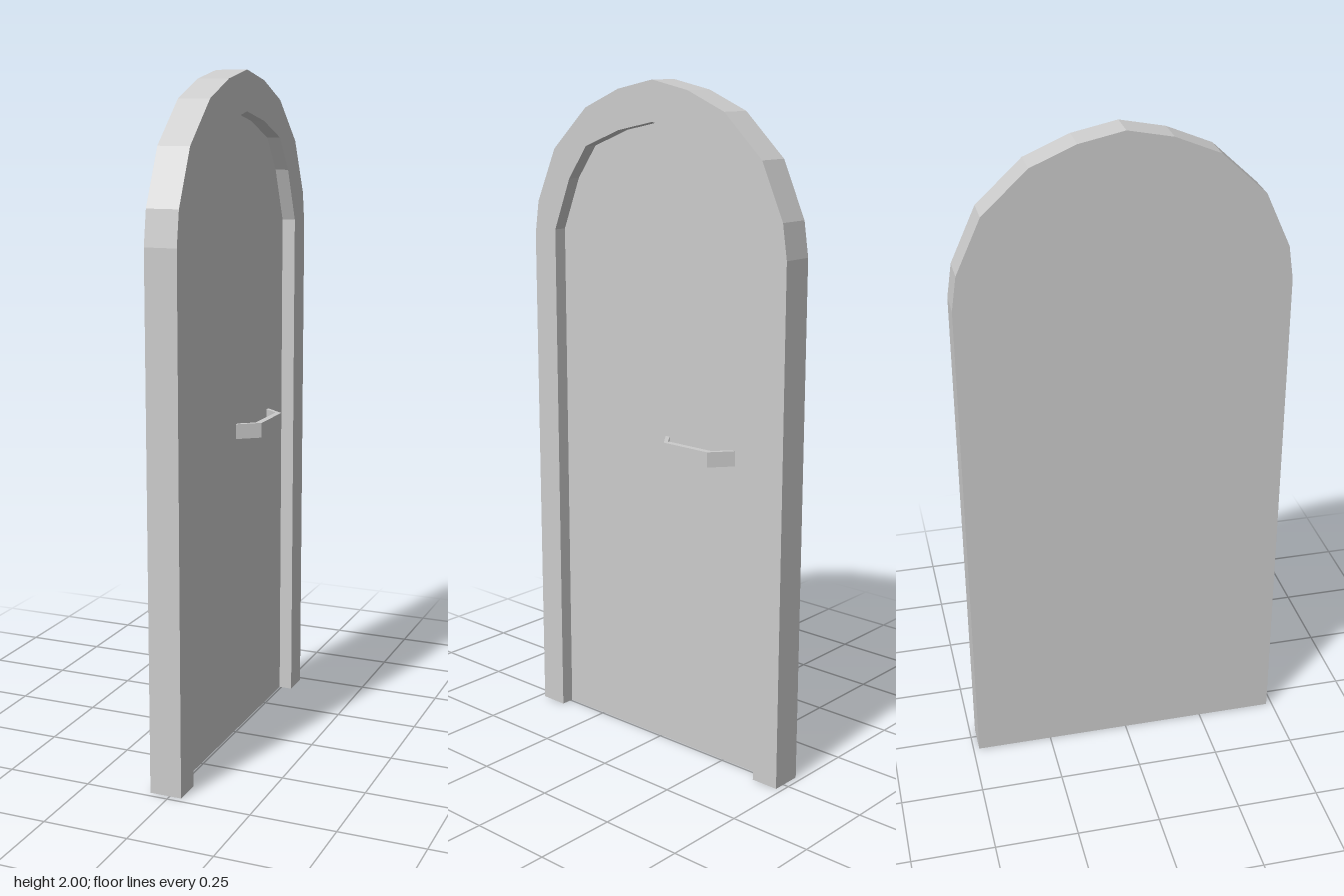
import * as THREE from 'three';

const material = new THREE.MeshStandardMaterial({ color: 0xcccccc, flatShading: true });

// Half outlines of the arch, from the floor up to the crown: [half width, height]
const OUTER = [[0.482, 0], [0.482, 1.535], [0.467, 1.635], [0.394, 1.795], [0.262, 1.918], [0.131, 1.973], [0, 2]];
const INNER = [[0.396, 0], [0.396, 1.553], [0.333, 1.709], [0.262, 1.807], [0.131, 1.857], [0, 1.884]];

const BACK = -0.06, PANEL_FACE = -0.006, FRAME_FACE = 0.035;

// Mirrors a half outline into a full arch running from one foot to the other
function arch(half) {
  const mirrored = half.slice(0, -1).reverse().map(([w, y]) => [-w, y]);
  return [...half, ...mirrored];
}

function extrude(points, depth) {
  const shape = new THREE.Shape(points.map(([a, b]) => new THREE.Vector2(a, b)));
  return new THREE.ExtrudeGeometry(shape, { depth, bevelEnabled: false });
}

// Upright slab whose thickness runs along x
function slab(name, points, x0, x1) {
  const geometry = extrude(points, x1 - x0).rotateY(Math.PI / 2).translate(x0, 0, 0);
  const mesh = new THREE.Mesh(geometry, material);
  mesh.name = name;
  return mesh;
}

// Pull handle: a bent bar of constant depth, drawn in plan as [x, z]
function makeHandle() {
  const thickness = 0.019, y0 = 0.925, y1 = 0.97;
  const plan = [
    [PANEL_FACE, -0.016], [0.057, -0.065], [0.057, -0.23], [PANEL_FACE, -0.281],
    [PANEL_FACE, -0.266], [0.057 - thickness, -0.23], [0.057 - thickness, -0.065], [PANEL_FACE, -0.031],
  ];
  const geometry = extrude(plan.map(([x, z]) => [x, -z]), y1 - y0)
    .rotateX(-Math.PI / 2)
    .translate(0, y0, 0);
  const mesh = new THREE.Mesh(geometry, material);
  mesh.name = 'handle';
  return mesh;
}

export function createModel() {
  const door = new THREE.Group();
  door.name = 'archedDoor';

  // Frame is open at the floor; the panel sits inside it, flush at the back
  door.add(slab('frame', [...arch(OUTER), ...arch(INNER).reverse()], BACK, FRAME_FACE));
  door.add(slab('panel', arch(INNER), BACK, PANEL_FACE));
  door.add(makeHandle());
  return door;
}
